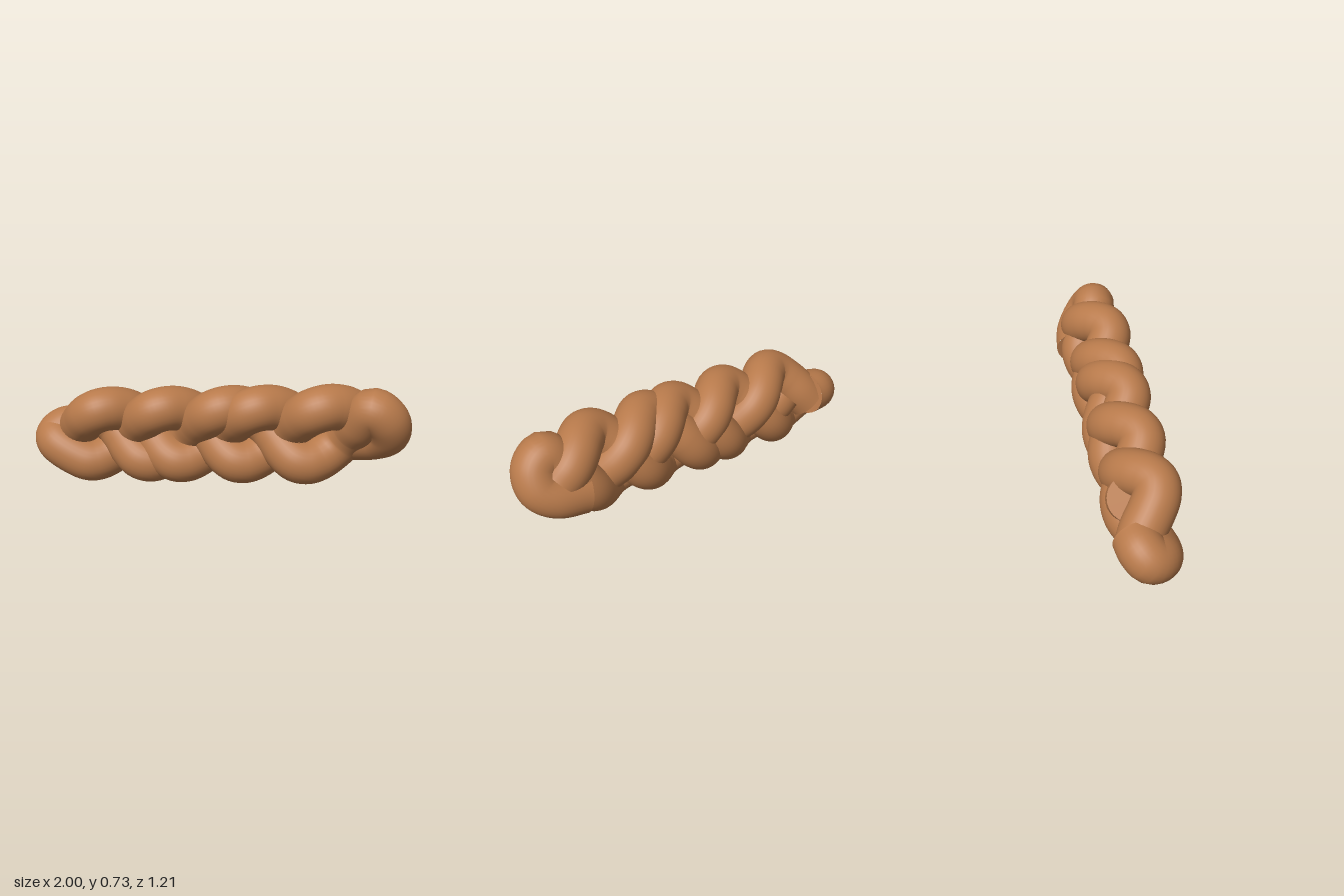
import * as THREE from 'three';

const RADIUS = 0.127;   // strand thickness
const SWING = 0.164;    // up and down sway of a strand
const WEAVE = 0.062;    // front and back sway of a strand
const PERIOD = 0.81;    // length of one full weave along x

// Point of a strand whose crest lies at x = crest, on the slanted braid axis.
// Crests and troughs lean to the front, crossings sink to the back.
function weavePoint(x, crest) {
  const t = (x - crest) / PERIOD * Math.PI * 2;
  const sway = SWING * Math.cos(t);
  const depth = WEAVE * Math.cos(2 * t + Math.PI / 4);
  return new THREE.Vector3(
    x + 0.46 * depth,
    0.373 + 0.125 * x + sway,
    0.01 - 0.53 * x + 0.887 * depth + 0.12 * sway
  );
}

function makeStrand(name, material, { crest, from, to, head = [], tail = [] }) {
  const points = head.map(p => new THREE.Vector3(...p));
  const steps = Math.round((to - from) / 0.05);
  for (let i = 0; i <= steps; i++) {
    points.push(weavePoint(from + (to - from) * i / steps, crest));
  }
  points.push(...tail.map(p => new THREE.Vector3(...p)));

  const curve = new THREE.CatmullRomCurve3(points);
  const strand = new THREE.Group();
  strand.name = name;
  const tube = new THREE.Mesh(new THREE.TubeGeometry(curve, 200, RADIUS, 32), material);
  tube.name = name + 'Tube';
  strand.add(tube);

  // Flat caps on both cut ends
  for (const u of [0, 1]) {
    const cap = new THREE.Mesh(new THREE.CircleGeometry(RADIUS, 32), material);
    const outward = curve.getTangentAt(u).multiplyScalar(u ? 1 : -1);
    cap.quaternion.setFromUnitVectors(new THREE.Vector3(0, 0, 1), outward);
    cap.position.copy(curve.getPointAt(u));
    cap.name = name + 'End';
    strand.add(cap);
  }
  return strand;
}

export function createModel() {
  const crust = new THREE.MeshStandardMaterial({ color: 0xb87a4b });
  crust.name = 'brown crust';

  const braid = new THREE.Group();
  braid.name = 'braid';

  // Strand with both ends tucked under the others
  braid.add(makeStrand('middleStrand', crust, { crest: -0.55, from: -0.78, to: 0.5 }));

  // Strand that curls back on itself at the low end
  braid.add(makeStrand('lowHookStrand', crust, {
    crest: -0.23, from: -0.68, to: 0.77,
    head: [[-0.79, 0.29, 0.35], [-0.855, 0.275, 0.4], [-0.872, 0.24, 0.45], [-0.825, 0.215, 0.478]],
  }));

  // Strand that curls back on itself at the high end
  braid.add(makeStrand('highHookStrand', crust, {
    crest: 0.09, from: -0.58, to: 0.74,
    tail: [[0.82, 0.61, -0.38], [0.872, 0.56, -0.425], [0.855, 0.475, -0.472], [0.77, 0.42, -0.48], [0.63, 0.39, -0.43]],
  }));

  return braid;
}
